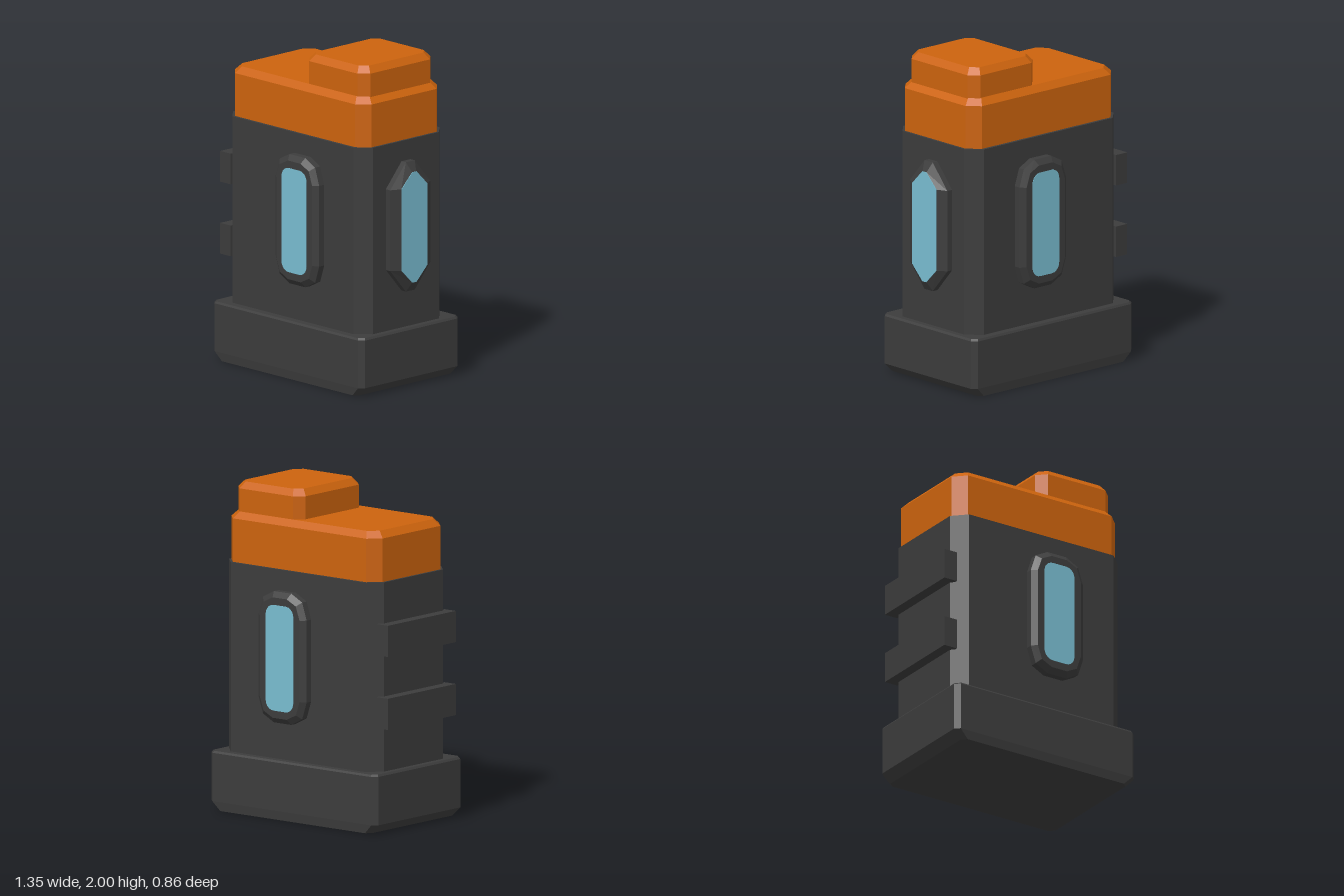
import * as THREE from 'three';

const material = (name, color) => {
  const m = new THREE.MeshStandardMaterial({ color });
  m.name = name;
  return m;
};

// Rectangle outline with cut or rounded corners, counter-clockwise in xy.
function section({ z, hx, hy, cx, cy = cx, seg = 1 }) {
  const points = [];
  for (let q = 0; q < 4; q++) {
    const sx = q === 0 || q === 3 ? 1 : -1;
    const sy = q < 2 ? 1 : -1;
    for (let i = 0; i <= seg; i++) {
      const a = (q + i / seg) * Math.PI / 2;
      points.push([sx * (hx - cx) + cx * Math.cos(a), sy * (hy - cy) + cy * Math.sin(a), z]);
    }
  }
  return points;
}

// Closed solid through a stack of sections along z, with flat faces.
function loft(sections) {
  const rings = sections.map(section);
  const n = rings[0].length;
  const positions = [];
  const tri = (a, b, c) => positions.push(...a, ...b, ...c);
  for (let r = 0; r < rings.length - 1; r++) {
    for (let i = 0; i < n; i++) {
      const j = (i + 1) % n;
      tri(rings[r][i], rings[r][j], rings[r + 1][j]);
      tri(rings[r][i], rings[r + 1][j], rings[r + 1][i]);
    }
  }
  const first = rings[0], last = rings[rings.length - 1];
  for (let i = 1; i < n - 1; i++) {
    tri(first[0], first[i + 1], first[i]);
    tri(last[0], last[i], last[i + 1]);
  }
  const geometry = new THREE.BufferGeometry();
  geometry.setAttribute('position', new THREE.Float32BufferAttribute(positions, 3));
  geometry.computeVertexNormals();
  return geometry;
}

export function createModel() {
  const dark = material('darkCasing', 0x3c3c3c);
  const orange = material('orangeCap', 0xcc630d);
  const blue = material('blueGlass', 0x78bcd0);
  const model = new THREE.Group();
  model.name = 'model';

  const add = (parent, name, geometry, mat) => {
    const mesh = new THREE.Mesh(geometry, mat);
    mesh.name = name;
    parent.add(mesh);
    return mesh;
  };
  // Upright block: the section stack runs up the y axis.
  const block = (name, x, mat, sections) => {
    const geometry = loft(sections).rotateX(-Math.PI / 2).translate(x, 0, 0);
    return add(model, name, geometry, mat);
  };

  // Main stack
  block('base', -0.005, dark, [
    { z: 0, hx: 0.595, hy: 0.405, cx: 0.03 },
    { z: 0.055, hx: 0.65, hy: 0.413, cx: 0.03 },
    { z: 0.35, hx: 0.65, hy: 0.413, cx: 0.03 },
    { z: 0.362, hx: 0.64, hy: 0.405, cx: 0.03 },
  ]);
  block('body', -0.005, dark, [
    { z: 0.34, hx: 0.605, hy: 0.358, cx: 0.083 },
    { z: 1.515, hx: 0.605, hy: 0.358, cx: 0.083 },
  ]);
  block('cap', -0.005, orange, [
    { z: 1.5, hx: 0.59, hy: 0.34, cx: 0.07 },
    { z: 1.78, hx: 0.59, hy: 0.34, cx: 0.07 },
    { z: 1.82, hx: 0.55, hy: 0.305, cx: 0.055 },
  ]);
  block('topButton', 0.287, orange, [
    { z: 1.8, hx: 0.263, hy: 0.303, cx: 0.055 },
    { z: 1.96, hx: 0.263, hy: 0.303, cx: 0.055 },
    { z: 2.0, hx: 0.229, hy: 0.27, cx: 0.043 },
  ]);

  // Front and back windows: rounded bevelled frame with a glass plate
  for (const [name, turn, z] of [['front', 0, 0], ['back', Math.PI, 0]]) {
    const win = new THREE.Group();
    win.name = name + 'Window';
    win.position.set(0.078, 0.99, z);
    win.rotation.y = turn;
    model.add(win);
    add(win, name + 'WindowFrame', loft([
      { z: 0.34, hx: 0.188, hy: 0.4, cx: 0.12, cy: 0.15, seg: 2 },
      { z: 0.4, hx: 0.188, hy: 0.4, cx: 0.12, cy: 0.15, seg: 2 },
      { z: 0.427, hx: 0.155, hy: 0.367, cx: 0.1, cy: 0.12, seg: 2 },
    ]), dark);
    add(win, name + 'WindowGlass', loft([
      { z: 0.426, hx: 0.107, hy: 0.322, cx: 0.06, seg: 5 },
      { z: 0.43, hx: 0.107, hy: 0.322, cx: 0.06, seg: 5 },
    ]), blue);
  }

  // Side window: angular frame whose face is fully glazed
  const side = new THREE.Group();
  side.name = 'sideWindow';
  side.position.y = 0.99;
  side.rotation.y = Math.PI / 2;
  model.add(side);
  add(side, 'sideWindowFrame', loft([
    { z: 0.58, hx: 0.167, hy: 0.4, cx: 0.13, cy: 0.15 },
    { z: 0.638, hx: 0.167, hy: 0.4, cx: 0.13, cy: 0.15 },
    { z: 0.671, hx: 0.107, hy: 0.342, cx: 0.09 },
  ]), dark);
  add(side, 'sideWindowGlass', loft([
    { z: 0.67, hx: 0.107, hy: 0.342, cx: 0.09 },
    { z: 0.674, hx: 0.107, hy: 0.342, cx: 0.09 },
  ]), blue);

  // Horizontal ribs on the opposite side
  for (const [name, y] of [['lowerRib', 0.725], ['upperRib', 1.17]]) {
    add(model, name, new THREE.BoxGeometry(0.09, 0.19, 0.637), dark).position.set(-0.633, y, -0.003);
  }

  return model;
}
